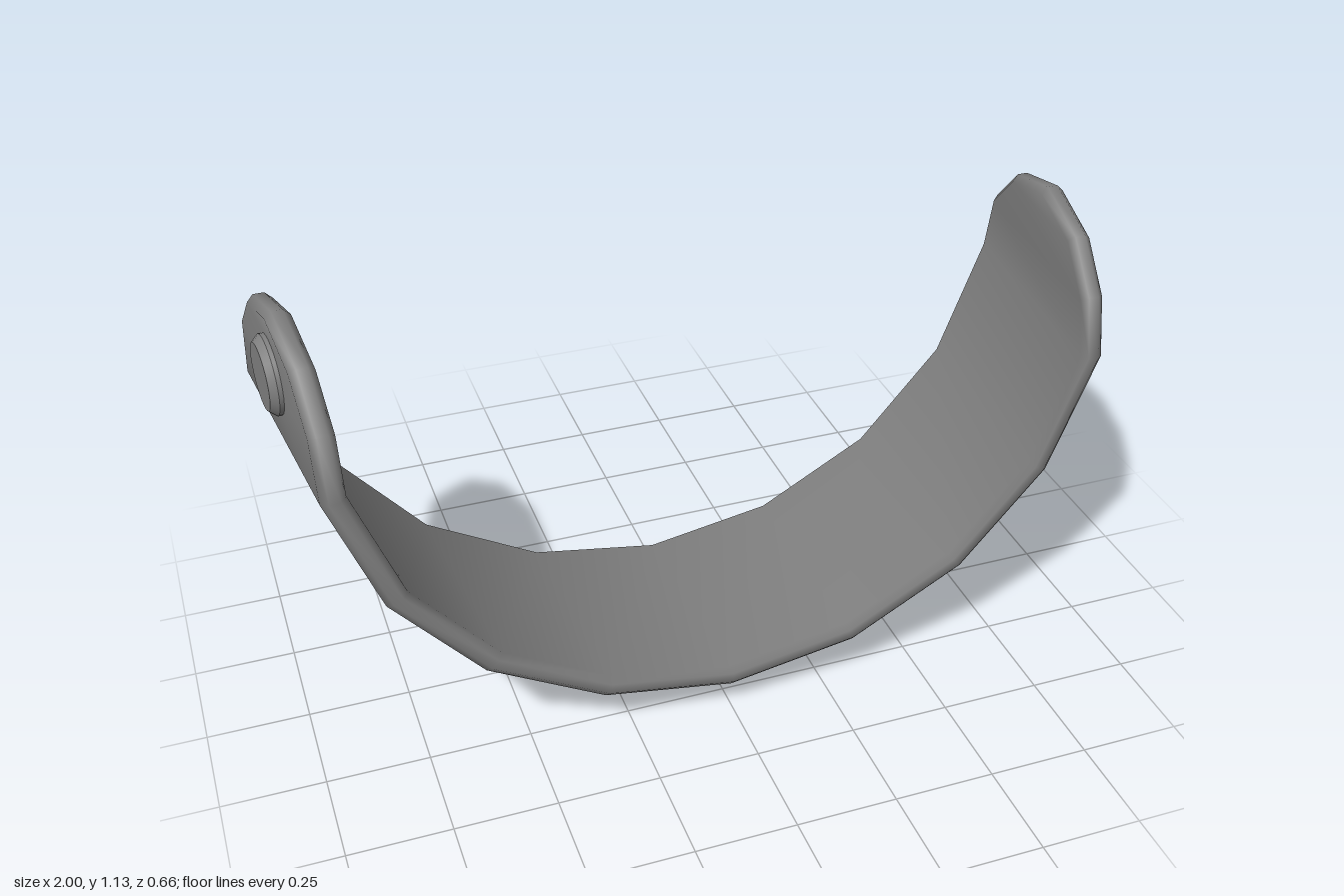
import * as THREE from 'three';
import { mergeVertices, toCreasedNormals } from 'three/addons/utils/BufferGeometryUtils.js';

const SLOPE = 0.111;      // the band flares toward the back
const THICK = 0.058;
const BEVEL = 0.016;
const HALF_WIDTH = 0.328;
const TAB_Y = 0.815;

// Stations along the band: outer position, outward normal and half width
function stations() {
  const list = [];
  const tab = [[1.13, 0], [1.083, 0.18], [0.976, 0.29]];
  const x = 0.98 * Math.sin(THREE.MathUtils.degToRad(80));
  for (const [y, w] of tab) list.push({ x: -x, y, nx: -1, ny: 0, w, tab: true });
  for (let deg = -80; deg <= 80; deg += 20) {
    const a = THREE.MathUtils.degToRad(deg), s = Math.sin(a), c = Math.cos(a);
    list.push({ x: 0.98 * s, y: 0.986 - 0.953 * c, nx: s, ny: -c, w: HALF_WIDTH });
  }
  for (const [y, w] of tab.reverse()) list.push({ x, y, nx: 1, ny: 0, w, tab: true });
  return list;
}

// Bevelled cross-section loop at one station
function section(st) {
  const layers = [[0, BEVEL], [BEVEL, 0], [THICK - BEVEL, 0], [THICK, BEVEL]];
  const point = ([depth, inset], side) => {
    const k = 1 - inset / HALF_WIDTH;
    const z = side * st.w * k;
    const y = st.tab ? TAB_Y + (st.y - TAB_Y) * k : st.y;
    const off = -SLOPE * z - depth;
    return new THREE.Vector3(st.x + st.nx * off, y + st.ny * off, z);
  };
  return [
    ...layers.map((l) => point(l, 1)),
    ...layers.slice().reverse().map((l) => point(l, -1)),
  ];
}

function bandGeometry() {
  const loops = stations().map(section);
  const pos = [];
  const tri = (a, b, c) => {
    const area = b.clone().sub(a).cross(c.clone().sub(a)).length();
    if (area > 1e-8) pos.push(...a, ...b, ...c);
  };
  for (let i = 0; i < loops.length - 1; i++) {
    const p = loops[i], q = loops[i + 1];
    for (let j = 0; j < 8; j++) {
      const k = (j + 1) % 8;
      tri(p[j], q[j], q[k]);
      tri(p[j], q[k], p[k]);
    }
  }
  const geo = new THREE.BufferGeometry();
  geo.setAttribute('position', new THREE.Float32BufferAttribute(pos, 3));
  // Area-weighted smooth normals: flat faces with soft rounded edges
  const smooth = mergeVertices(geo);
  smooth.computeVertexNormals();
  return smooth;
}

export function createModel() {
  const group = new THREE.Group();
  group.name = 'curvedStrap';
  const darkGrey = new THREE.MeshStandardMaterial({ color: 0x808080 });

  const band = new THREE.Mesh(bandGeometry(), darkGrey);
  band.name = 'band';
  group.add(band);

  // Chamfered pivot buttons on the outside of each tab
  const profile = [[0.093, -0.02], [0.093, 0.01], [0.078, 0.027], [0, 0.027]]
    .map(([r, y]) => new THREE.Vector2(r, y));
  const buttonGeo = toCreasedNormals(new THREE.LatheGeometry(profile, 28), 0.5);
  for (const side of [1, -1]) {
    const button = new THREE.Mesh(buttonGeo, darkGrey);
    button.name = side > 0 ? 'leftPivotButton' : 'rightPivotButton';
    button.position.set(side * 0.965, 0.977, 0);
    button.quaternion.setFromUnitVectors(
      new THREE.Vector3(0, 1, 0),
      new THREE.Vector3(side, 0, SLOPE).normalize());
    group.add(button);
  }
  return group;
}
